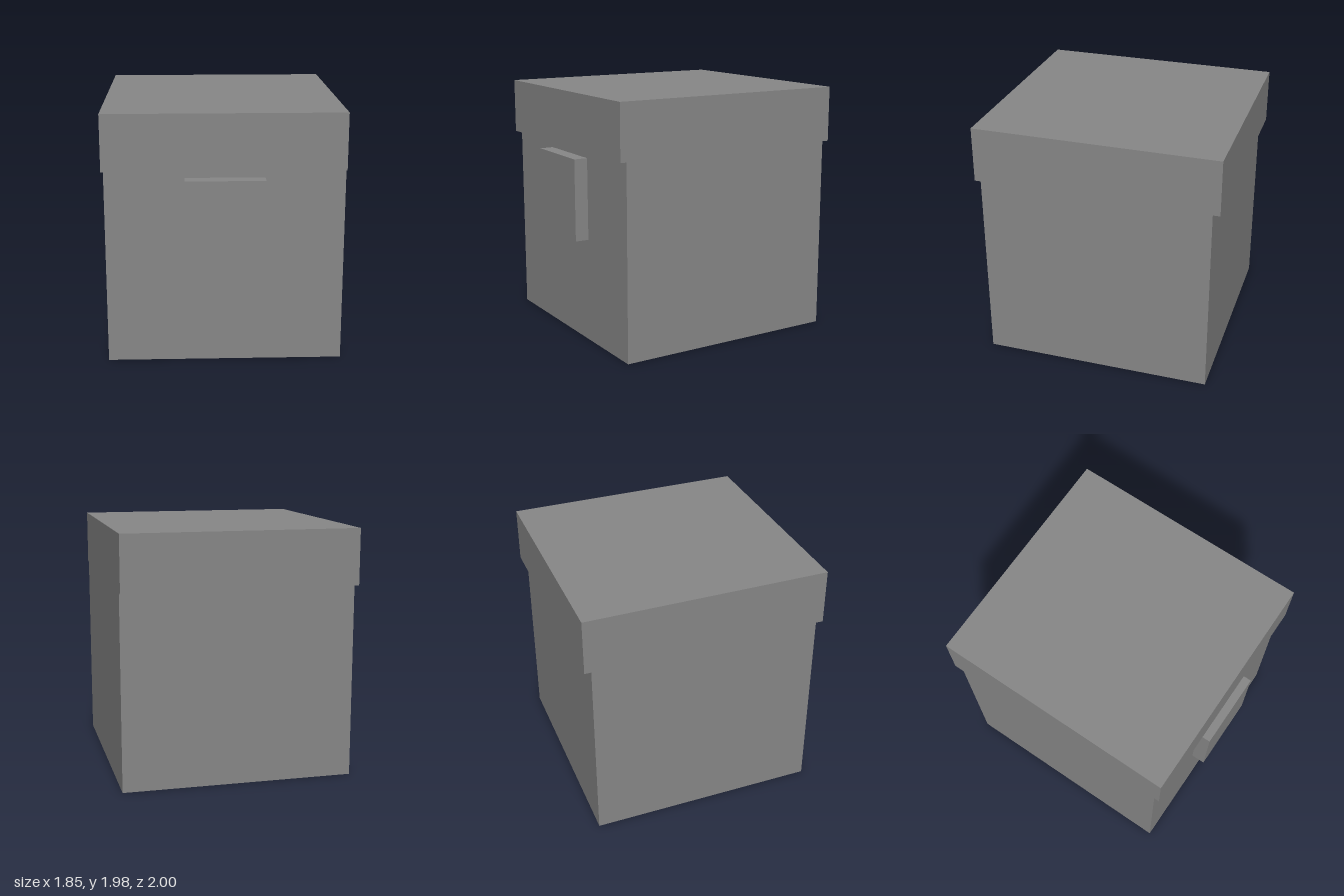
import * as THREE from 'three';

const material = new THREE.MeshStandardMaterial({ color: 0x878787, flatShading: true });

// Box spanning two opposite corners
function block(name, [x0, y0, z0], [x1, y1, z1]) {
  const mesh = new THREE.Mesh(new THREE.BoxGeometry(x1 - x0, y1 - y0, z1 - z0), material);
  mesh.name = name;
  mesh.position.set((x0 + x1) / 2, (y0 + y1) / 2, (z0 + z1) / 2);
  return mesh;
}

export function createModel() {
  const group = new THREE.Group();
  group.name = 'chest';
  group.add(
    // Main box
    block('body', [-0.91, 0, -0.943], [0.925, 1.54, 0.89]),
    // Overhanging lid, flush with the body on the +x side
    block('lid', [-0.925, 1.54, -1], [0.925, 1.98, 0.94]),
    // Clasp plate on the front
    block('clasp', [-0.298, 0.83, 0.89], [0.312, 1.48, 1])
  );
  return group;
}
